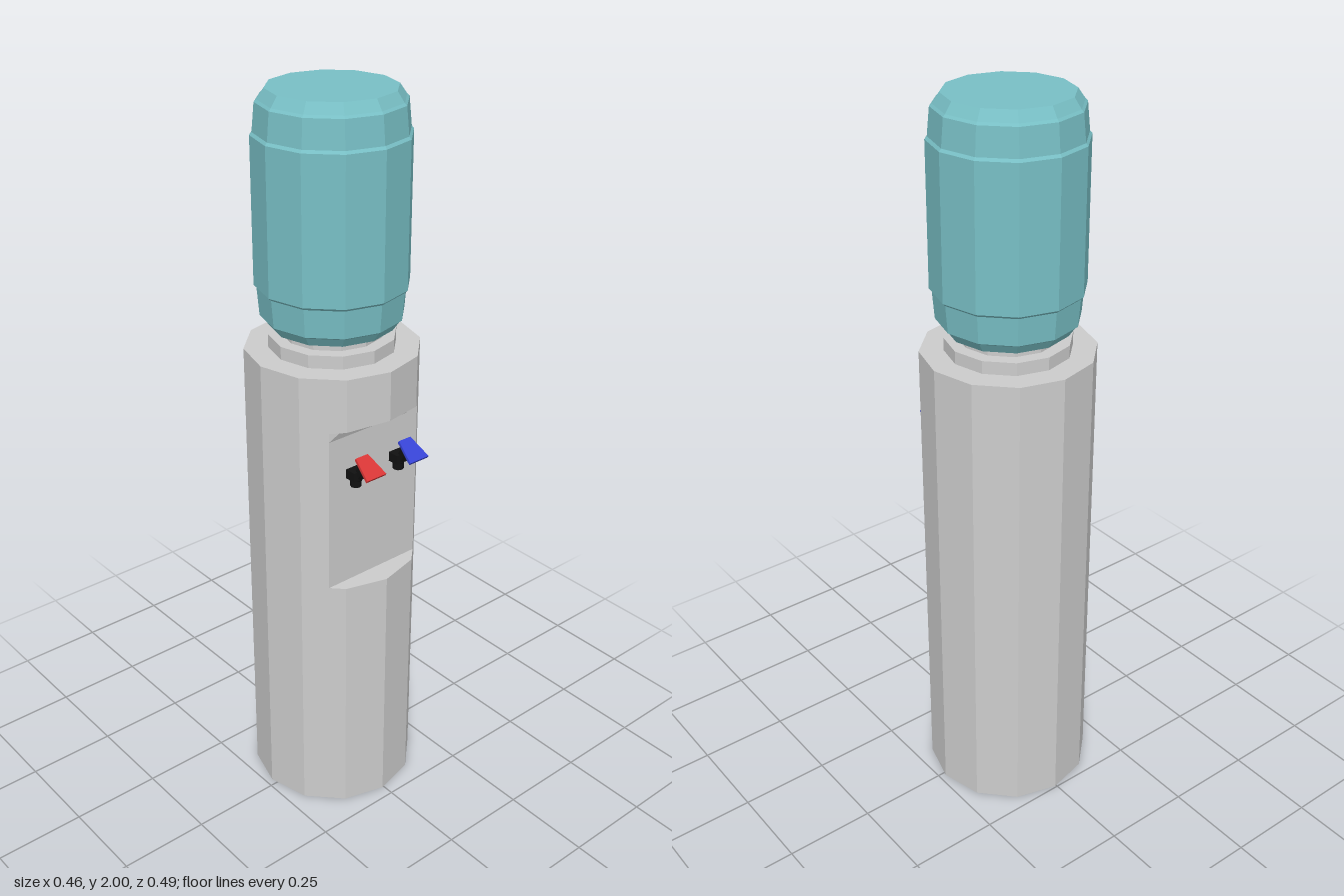
import * as THREE from 'three';

const SIDES = 12, TURN = -0.02, CZ = -0.015; // shared facet layout of body and bottle

const mat = (name, color) => {
  const m = new THREE.MeshStandardMaterial({ color });
  m.name = name;
  return m;
};

// Faceted mesh: split the vertices so every face gets its own normal
function part(name, geometry, material, parent) {
  const g = geometry.index ? geometry.toNonIndexed() : geometry;
  g.computeVertexNormals();
  const mesh = new THREE.Mesh(g, material);
  mesh.name = name;
  parent.add(mesh);
  return mesh;
}

// Twelve-sided outline, with two extra points where the recess plane meets it
function bodyOutline(radius, cut) {
  const corners = [];
  for (let i = 0; i < SIDES; i++) {
    const a = i * Math.PI * 2 / SIDES + TURN;
    corners.push([Math.sin(a) * radius, Math.cos(a) * radius + CZ]);
  }
  const pts = [];
  corners.forEach((p, i) => {
    pts.push(p);
    const q = corners[(i + 1) % SIDES];
    if ((p[1] - cut) * (q[1] - cut) < 0) {
      const t = (cut - p[1]) / (q[1] - p[1]);
      pts.push([p[0] + (q[0] - p[0]) * t, cut]);
    }
  });
  return pts;
}

// Loft the body; rings with a limit are pressed flat to form the tap recess
function bodyGeometry() {
  const outline = bodyOutline(0.231, 0.15);
  const sections = [
    { y: 0 }, { y: 0.73 }, { y: 0.73, limit: 0.15 }, { y: 1.165, limit: 0.15 },
    { y: 1.19, limit: 0.16 }, { y: 1.19, slope: 0.27 }, { y: 1.34 },
  ];
  const rings = sections.map(({ y, limit = 1, slope = 0 }) => outline.map(([x, z]) =>
    new THREE.Vector3(x, y + slope * Math.max(0, z - 0.16), Math.min(z, limit))));
  const pos = [];
  const tri = (a, b, c) => {
    const area = b.clone().sub(a).cross(c.clone().sub(a)).length();
    if (area > 1e-7) for (const v of [a, b, c]) pos.push(v.x, v.y, v.z);
  };
  const n = outline.length;
  for (let s = 0; s < rings.length - 1; s++) {
    for (let i = 0; i < n; i++) {
      const j = (i + 1) % n;
      tri(rings[s][i], rings[s][j], rings[s + 1][j]);
      tri(rings[s][i], rings[s + 1][j], rings[s + 1][i]);
    }
  }
  // Flat base and top
  const base = new THREE.Vector3(0, 0, CZ), top = new THREE.Vector3(0, 1.34, CZ);
  const last = rings[rings.length - 1];
  for (let i = 0; i < n; i++) {
    const j = (i + 1) % n;
    tri(base, rings[0][j], rings[0][i]);
    tri(top, last[i], last[j]);
  }
  const g = new THREE.BufferGeometry();
  g.setAttribute('position', new THREE.Float32BufferAttribute(pos, 3));
  return g;
}

// Flared lever plate, narrow at the back and wide at the front
function leverGeometry() {
  const shape = new THREE.Shape([
    [-0.032, 0], [0.032, 0], [0.02, 0.069], [-0.02, 0.069],
  ].map(([x, y]) => new THREE.Vector2(x, y)));
  return new THREE.ExtrudeGeometry(shape, { depth: 0.008, bevelEnabled: false });
}

export function createModel() {
  const model = new THREE.Group();
  model.name = 'waterCooler';
  const grey = mat('casing grey', 0xcccccc);
  const teal = mat('bottle teal', 0x78bfc5);
  const black = mat('tap black', 0x111111);
  const red = mat('hot red', 0xd93636);
  const blue = mat('cold blue', 0x3744d6);

  part('body', bodyGeometry(), grey, model);

  // Stepped collar that carries the bottle
  for (const [name, r, y0, y1] of [['collar', 0.167, 1.335, 1.375], ['neck', 0.133, 1.37, 1.402]]) {
    const g = new THREE.CylinderGeometry(r, r, y1 - y0, SIDES, 1, false, TURN);
    part(name, g, grey, model).position.set(0, (y0 + y1) / 2, CZ);
  }

  // Bottle with shallow steps at its shoulders
  const profile = [
    [0, 1.4], [0.163, 1.4], [0.18, 1.425], [0.187, 1.43], [0.193, 1.505], [0.2, 1.512],
    [0.2, 1.89], [0.194, 1.897], [0.187, 1.968], [0.181, 1.974], [0.163, 2], [0, 2],
  ].map(([r, y]) => new THREE.Vector2(r, y));
  part('bottle', new THREE.LatheGeometry(profile, SIDES, TURN), teal, model).position.z = CZ;

  // Hot and cold taps
  for (const [name, x, colour] of [['hotTap', -0.073, red], ['coldTap', 0.074, blue]]) {
    const tap = new THREE.Group();
    tap.name = name;
    tap.position.x = x;
    model.add(tap);

    part('valve', new THREE.BoxGeometry(0.044, 0.026, 0.032), black, tap).position.set(0, 1.058, 0.168);
    part('spout', new THREE.CylinderGeometry(0.015, 0.015, 0.045, 8), black, tap).position.set(0, 1.044, 0.165);
    const stem = part('stem', new THREE.CylinderGeometry(0.013, 0.013, 0.06, 8), black, tap);
    stem.position.set(0, 1.071, 0.184);
    stem.rotation.x = 0.5;

    const lever = part('lever', leverGeometry(), colour, tap);
    lever.position.set(0, 1.072, 0.241);
    lever.rotation.x = -1.0;
  }
  return model;
}
